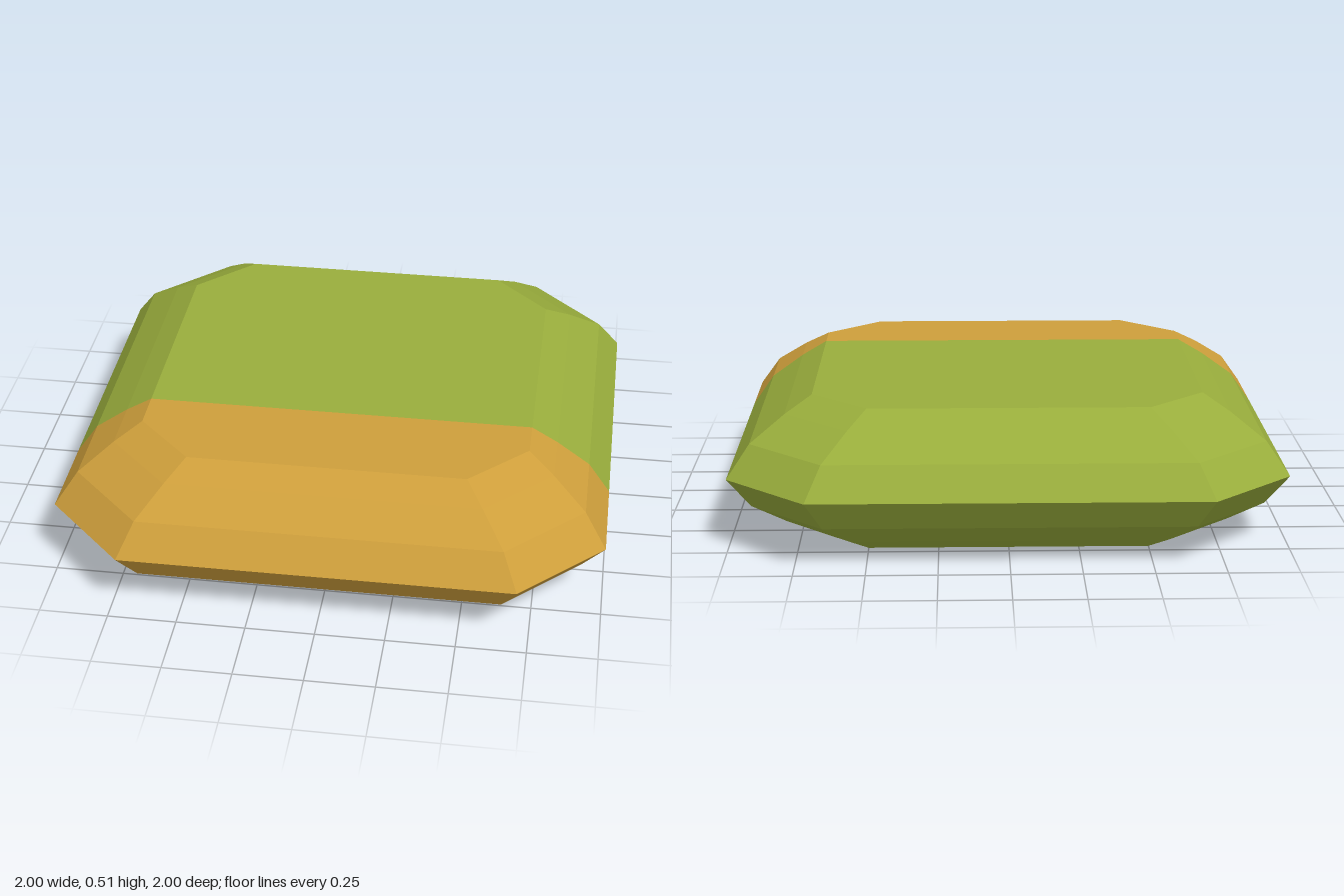
import * as THREE from 'three';

const SPLIT = 0.35; // z where the two colours meet

// Rings from bottom to top: [half width, corner start, height]
const upper = [[1, 0.705, 0.257], [0.92, 0.65, 0.372], [0.8, 0.565, 0.458], [0.705, 0.5, 0.514]];
const lower = upper.slice(1).reverse().map(([a, b, y]) => [a, b, 0.514 - y]);
const rings = [...lower, ...upper];

// Half of a chamfered square outline, running clockwise seen from above
const frontPath = (a, b) => [[a, SPLIT], [a, b], [b, a], [-b, a], [-a, b], [-a, SPLIT]];
const backPath = (a, b) => [[-a, SPLIT], [-a, -b], [-b, -a], [b, -a], [a, -b], [a, SPLIT]];

// Facets between the rings, closed by flat caps at top and bottom
function facetedShell(path) {
  const loops = rings.map(([a, b, y]) => path(a, b).map(([x, z]) => [x, y, z]));
  const pos = [];
  const tri = (...pts) => pts.forEach((p) => pos.push(...p));
  const top = loops[loops.length - 1];
  const bottom = loops[0];
  for (let r = 0; r < loops.length - 1; r++) {
    const lo = loops[r], hi = loops[r + 1];
    for (let i = 0; i < lo.length - 1; i++) {
      tri(lo[i], hi[i], lo[i + 1]);
      tri(hi[i], hi[i + 1], lo[i + 1]);
    }
  }
  for (let i = 1; i < top.length - 1; i++) {
    tri(top[0], top[i + 1], top[i]);
    tri(bottom[0], bottom[i], bottom[i + 1]);
  }
  const geo = new THREE.BufferGeometry();
  geo.setAttribute('position', new THREE.Float32BufferAttribute(pos, 3));
  geo.computeVertexNormals();
  return geo;
}

export function createModel() {
  const group = new THREE.Group();
  group.name = 'facetedGem';
  const addPart = (name, path, colorName, color) => {
    const material = new THREE.MeshStandardMaterial({ color });
    material.name = colorName;
    const mesh = new THREE.Mesh(facetedShell(path), material);
    mesh.name = name;
    group.add(mesh);
  };
  addPart('frontBand', frontPath, 'amber', 0xcd9e3b);
  addPart('mainBody', backPath, 'olive green', 0x99ad3c);
  return group;
}
